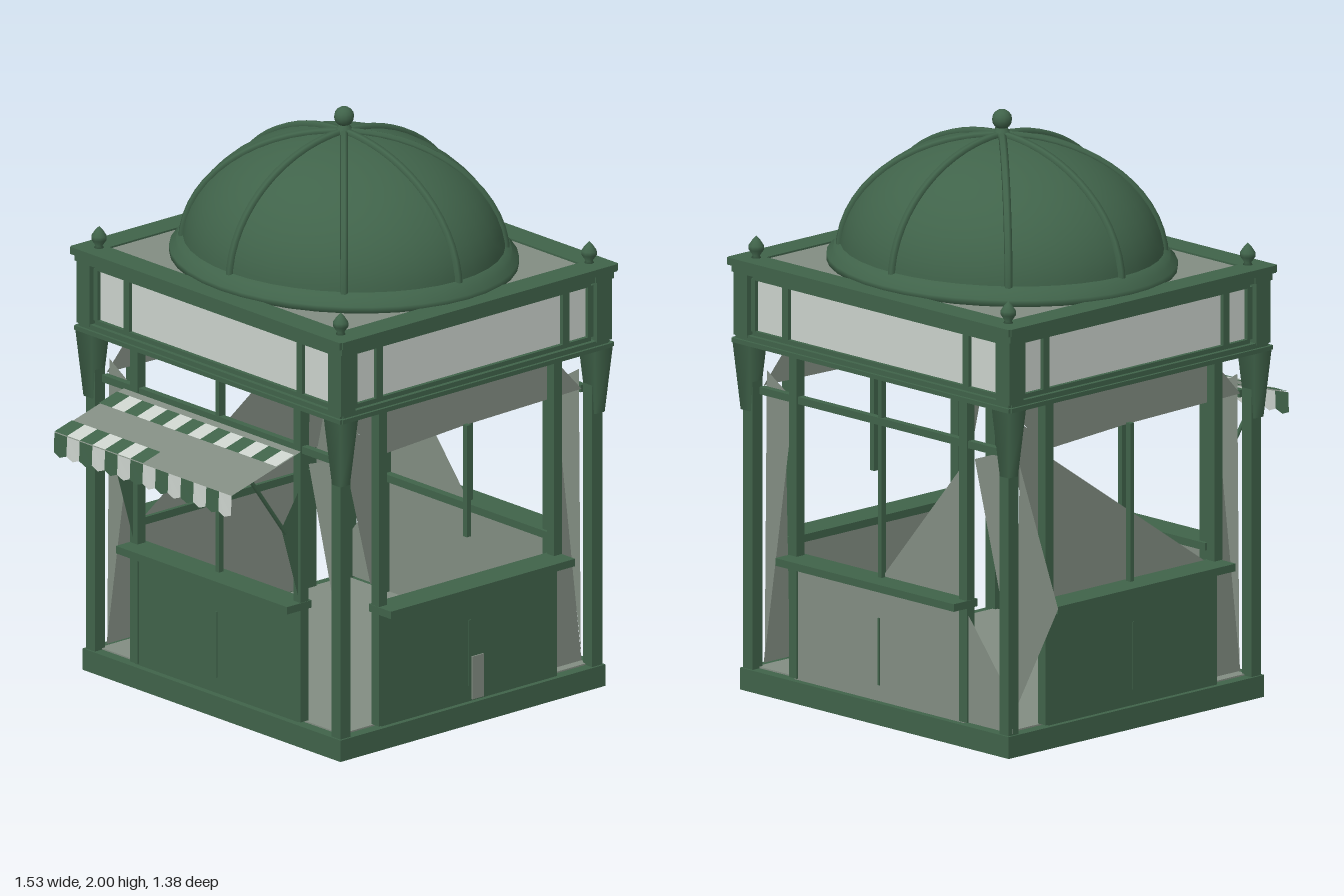
import * as THREE from 'three';

const CX = 0.127; // centre of the kiosk body in x

export function createModel() {
  const root = new THREE.Group();
  root.name = 'kiosk';
  const material = (name, hex) => {
    const m = new THREE.MeshStandardMaterial({ color: hex, side: THREE.DoubleSide });
    m.name = name;
    return m;
  };
  const green = material('dark green paint', 0x40634a);
  const grey = material('grey sheet', 0x828d82);
  const pale = material('pale sign panel', 0xcbd2cc);

  const add = (parent, name, geo, mat, x = 0, y = 0, z = 0) => {
    const m = new THREE.Mesh(geo, mat);
    m.name = name;
    m.position.set(x, y, z);
    parent.add(m);
    return m;
  };
  // box given by its limits
  const box = (parent, name, mat, x0, x1, y0, y1, z0, z1) =>
    add(parent, name, new THREE.BoxGeometry(x1 - x0, y1 - y0, z1 - z0), mat,
      (x0 + x1) / 2, (y0 + y1) / 2, (z0 + z1) / 2);
  // flat sheet through a few corner points
  const sheet = (parent, name, mat, pts) => {
    const pos = [];
    for (let i = 1; i < pts.length - 1; i++) pos.push(...pts[0], ...pts[i], ...pts[i + 1]);
    const g = new THREE.BufferGeometry();
    g.setAttribute('position', new THREE.Float32BufferAttribute(pos, 3));
    g.computeVertexNormals();
    return add(parent, name, g, mat);
  };
  const rod = (parent, name, mat, a, b, r) => {
    const curve = new THREE.LineCurve3(new THREE.Vector3(...a), new THREE.Vector3(...b));
    return add(parent, name, new THREE.TubeGeometry(curve, 1, r, 6), mat);
  };

  const body = new THREE.Group();
  body.name = 'body';
  body.position.x = CX;
  root.add(body);

  // base and floor
  box(body, 'base', green, -0.59, 0.59, 0, 0.075, -0.64, 0.64);
  box(body, 'floor', grey, -0.55, 0.55, 0.075, 0.08, -0.6, 0.6);

  // corner posts, frieze corners and roof finials
  const finial = [[0, 0], [0.022, 0], [0.012, 0.018], [0.026, 0.038], [0.026, 0.052],
    [0.014, 0.07], [0, 0.085]].map(p => new THREE.Vector2(...p));
  for (const sx of [-1, 1]) for (const sz of [-1, 1]) {
    add(body, 'cornerPost', new THREE.BoxGeometry(0.045, 1.12, 0.045), green, sx * 0.56, 0.635, sz * 0.61);
    add(body, 'postCapital', new THREE.CylinderGeometry(0.058, 0.03, 0.24, 4, 1).rotateY(Math.PI / 4),
      green, sx * 0.567, 1.08, sz * 0.617);
    add(body, 'friezeCorner', new THREE.BoxGeometry(0.065, 0.22, 0.065), green, sx * 0.57, 1.325, sz * 0.625);
    add(body, 'cornerFinial', new THREE.LatheGeometry(finial, 10), green, sx * 0.553, 1.47, sz * 0.6);
  }

  // four walls: local +z points outward
  const walls = [
    { name: 'frontWall', turn: 0, d: 0.61, full: 0.58, h: 0.39, panel: green },
    { name: 'leftWall', turn: Math.PI / 2, d: 0.555, full: 0.64, h: 0.405, panel: grey },
    { name: 'backWall', turn: Math.PI, d: 0.61, full: 0.58, h: 0.39, panel: green },
    { name: 'rightWall', turn: -Math.PI / 2, d: 0.555, full: 0.64, h: 0.405, panel: green }
  ];
  for (const { name, turn, d, full, h, panel } of walls) {
    const w = new THREE.Group();
    w.name = name;
    w.rotation.y = turn;
    body.add(w);
    const side = name === 'leftWall' || name === 'rightWall';

    // lower panel with seam, grey inner lining and counter
    box(w, 'lowerPanel', panel, -h, h, 0.075, 0.475, d, d + 0.012);
    box(w, 'panelLining', grey, -h, h, 0.08, 0.475, d - 0.006, d - 0.001);
    box(w, 'panelSeam', green, -0.004, 0.004, 0.13, 0.36, d + 0.012, d + 0.016);
    box(w, 'counter', green, -h - 0.02, h + 0.02, 0.472, 0.498, d - 0.03, d + 0.08);

    // window posts, mullion and transom
    for (const s of [-1, 1])
      box(w, 'windowPost', green, s * h - 0.018, s * h + 0.018, s < 0 || side ? 0.08 : 0.5, 1.2, d - 0.018, d + 0.018);
    box(w, 'mullion', green, -0.009, 0.009, name === 'frontWall' ? 0.65 : 0.49, side ? 1.2 : 1.04, d - 0.01, d + 0.01);
    if (side) box(w, 'transom', green, -full + 0.07, full - 0.07, 1.02, 1.045, d - 0.012, d + 0.012);

    // stepped lower cornice and upper cornice
    const run = full + 0.01;
    box(w, 'lowerCornice', green, -run - 0.01, run + 0.01, 1.19, 1.205, d - 0.03, d + 0.055);
    box(w, 'lowerCorniceLip', green, -run, run, 1.205, 1.222, d - 0.03, d + 0.045);
    box(w, 'upperCornice', green, -run - 0.015, run + 0.015, 1.43, 1.455, d - 0.03, d + 0.05);
    box(w, 'upperCorniceLip', green, -run - 0.02, run + 0.02, 1.455, 1.48, d - 0.03, d + 0.065);

    // frieze with pale sign panels
    const e = full - 0.055;
    box(w, 'signPanel', pale, -e, e, 1.235, 1.415, d + 0.008, d + 0.016);
    box(w, 'friezeBottomRail', green, -e, e, 1.22, 1.237, d, d + 0.03);
    box(w, 'friezeTopRail', green, -e, e, 1.412, 1.432, d, d + 0.03);
    for (const s of [-1, 1]) {
      box(w, 'friezeDivider', green, s * (h + 0.025) - 0.014, s * (h + 0.025) + 0.014, 1.235, 1.415, d, d + 0.03);
      box(w, 'friezeEnd', green, s * e - 0.012, s * e + 0.012, 1.235, 1.415, d, d + 0.03);
    }

    // draped sheets above the front and back windows
    if (!side) {
      const f = d - 0.022;
      sheet(w, 'upperSheet', grey, [[-0.55, 1.19, f], [0, 1.19, f], [0, 1.03, f], [-0.36, 1.01, f]]);
      sheet(w, 'upperSheet', grey, [[0, 1.19, f], [0.39, 1.19, f], [0.53, 1.04, f], [0, 1.03, f]]);
      sheet(w, 'flankSheet', grey, [[-0.56, 1.17, f], [-0.38, 1.05, f], [-0.37, 0.56, f], [-0.41, 0.57, f]]);
      sheet(w, 'flankSheet', grey, [[0.43, 0.92, f], [0.53, 0.09, f], [0.41, 0.09, f]]);
    } else {
      const f = d - 0.012;
      sheet(w, 'flankSheet', grey, [[-0.56, 1.1, f], [-0.43, 1.02, f], [-0.57, 0.12, f]]);
      sheet(w, 'flankSheet', grey, [[0.43, 0.98, f], [0.57, 1.03, f], [0.56, 0.5, f]]);
    }
  }

  // loose sheets across the back and left openings
  sheet(body, 'backWindowSheet', grey, [[-0.36, 0.5, -0.59], [0.35, 0.5, -0.59], [0.35, 0.98, -0.59]]);
  sheet(body, 'leftWindowSheet', grey, [[0.55, 0.5, 0], [0.55, 0.5, -0.38], [0.55, 0.95, -0.38]]);
  sheet(body, 'leftRearPanel', grey, [[0.565, 0.08, -0.4], [0.565, 0.08, -0.635], [0.565, 0.2, -0.625], [0.565, 0.475, -0.4]]);
  sheet(body, 'rearCornerSheet', grey, [[0.5, 0.98, -0.6], [0.41, 0.49, -0.69], [0.53, 0.15, -0.61]]);
  box(body, 'frontPatch', grey, 0.01, 0.06, 0.08, 0.23, 0.622, 0.627);

  // roof deck
  box(body, 'roofDeck', grey, -0.58, 0.58, 1.45, 1.474, -0.63, 0.63);

  // oval dome with ring, ribs and top finial
  const RX = 0.51, RZ = 0.57, Y0 = 1.5, H = 0.41;
  const profile = [];
  for (let i = 0; i <= 14; i++) {
    const a = (i / 14) * Math.PI / 2;
    profile.push(new THREE.Vector2(Math.cos(a), Y0 + H * Math.sin(a)));
  }
  add(body, 'dome', new THREE.LatheGeometry(profile, 40).scale(RX, 1, RZ), green);
  const ring = [[1.0, 1.47], [1.08, 1.47], [1.08, 1.495], [1.04, 1.505], [1.035, 1.525], [0.98, 1.535]]
    .map(p => new THREE.Vector2(...p));
  add(body, 'domeRing', new THREE.LatheGeometry(ring, 40).scale(RX, 1, RZ), green);
  for (let k = 0; k < 8; k++) {
    const t = k * Math.PI / 4;
    const pts = profile.map(p => new THREE.Vector3(
      p.x * RX * Math.cos(t), p.y + 0.003, p.x * RZ * Math.sin(t)));
    add(body, 'domeRib', new THREE.TubeGeometry(new THREE.CatmullRomCurve3(pts), 16, 0.014, 6), green);
  }
  add(body, 'finialNeck', new THREE.CylinderGeometry(0.018, 0.042, 0.04, 12), green, 0, 1.918, 0);
  add(body, 'finialBall', new THREE.SphereGeometry(0.034, 12, 8), green, 0, 1.966, 0);

  // awning on the right side: sloping canvas, striped ends and scalloped valance
  const awning = new THREE.Group();
  awning.name = 'awning';
  root.add(awning);
  const XO = -0.768, XI = -0.46, YO = 0.95, YI = 1.035, N = 14, Z = 0.44;
  const yAt = x => YO + (YI - YO) * (x - XO) / (XI - XO);
  sheet(awning, 'canvas', grey, [[XI, YI, -Z], [XO, YO, -Z], [XO, YO, Z], [XI, YI, Z]]);
  for (let i = 0; i < N; i++) {
    const z0 = -Z + (2 * Z * i) / N, z1 = z0 + (2 * Z) / N, zm = (z0 + z1) / 2;
    const stripe = i % 2 ? pale : green;
    const strip = (name, a, b) => sheet(awning, name, stripe,
      [[a, yAt(a) + 0.004, z0], [a, yAt(a) + 0.004, z1], [b, yAt(b) + 0.004, z1], [b, yAt(b) + 0.004, z0]]);
    strip('innerStripe', -0.57, -0.49);
    if (i < 7) strip('outerStripe', XO, -0.69);
    sheet(awning, 'valanceStripe', stripe,
      [[XO, YO, z0], [XO - 0.003, 0.882, z0], [XO - 0.004, 0.87, zm], [XO - 0.003, 0.882, z1], [XO, YO, z1]]);
  }
  for (const z of [-0.41, 0.41]) {
    rod(awning, 'awningStrut', green, [-0.66, 0.975, z], [-0.5, 0.75, z], 0.007);
    sheet(awning, 'strutBracket', green, [[-0.52, 0.77, z], [-0.44, 0.89, z], [-0.44, 0.5, z]]);
  }
  return root;
}
